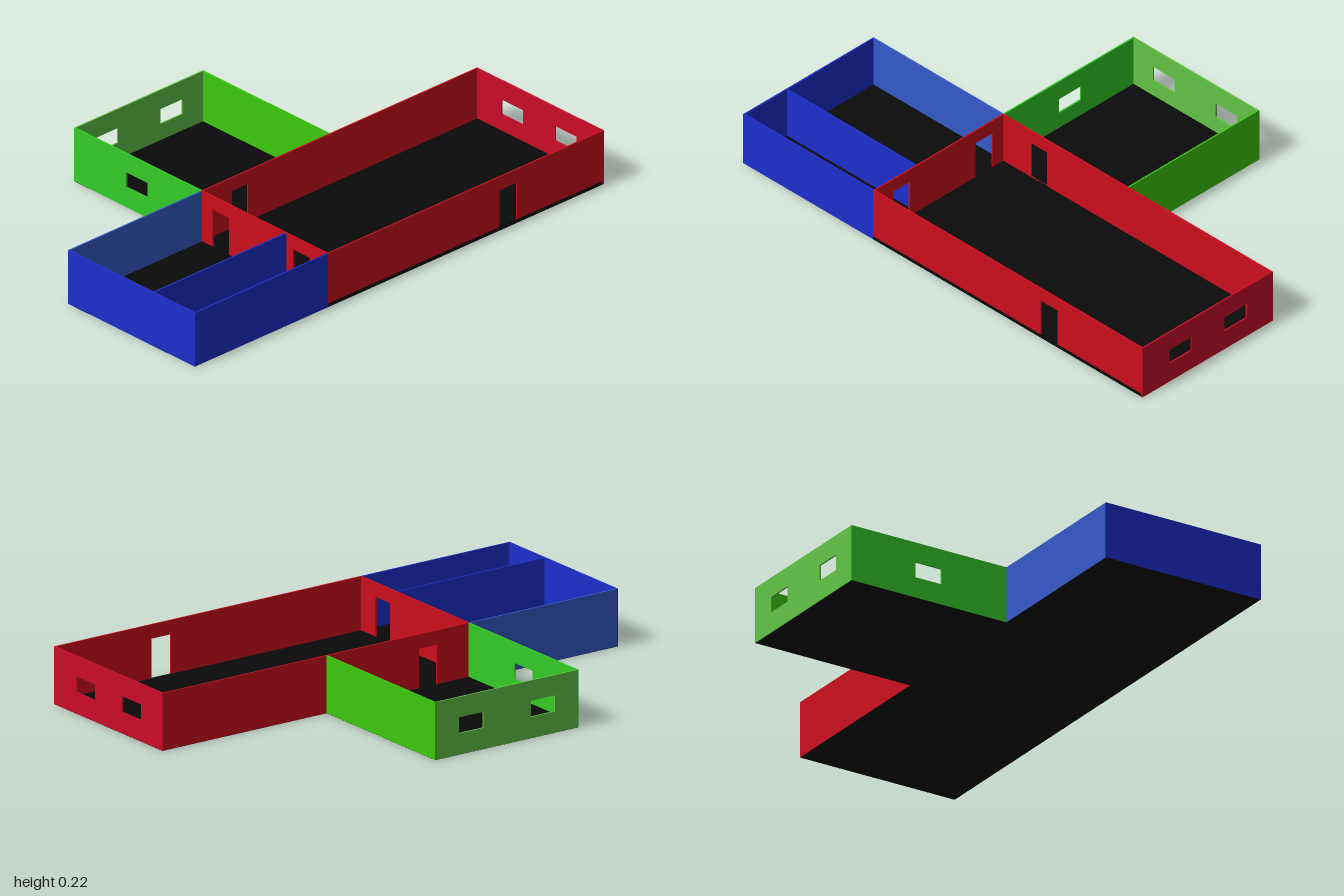
import * as THREE from 'three';

const TOP = 0.216, SLAB = 0.015, T = 0.006, BASE = 0.001;
const SILL = 0.08, HEAD = 0.14, DOOR = 0.163;

const material = (color) => new THREE.MeshStandardMaterial({ color, flatShading: true, side: THREE.DoubleSide });

// Thin upright panel from a to b; windows are holes, doors are holes or notches down to the bottom edge
function panel(a, b, bottom, windows, doors) {
  const s = new THREE.Shape();
  s.moveTo(a, bottom);
  const notched = bottom >= SLAB;
  for (const [p, q] of doors) {
    if (notched) {
      s.lineTo(p, bottom); s.lineTo(p, DOOR); s.lineTo(q, DOOR); s.lineTo(q, bottom);
    }
  }
  s.lineTo(b, bottom); s.lineTo(b, TOP); s.lineTo(a, TOP); s.closePath();
  const holes = windows.map(([p, q]) => [p, q, SILL, HEAD]);
  if (!notched) holes.push(...doors.map(([p, q]) => [p, q, SLAB, DOOR]));
  for (const [p, q, y0, y1] of holes) {
    const h = new THREE.Path();
    h.moveTo(p, y0); h.lineTo(p, y1); h.lineTo(q, y1); h.lineTo(q, y0); h.closePath();
    s.holes.push(h);
  }
  return new THREE.ExtrudeGeometry(s, { depth: T, bevelEnabled: false });
}

// Wall running along x, occupying z .. z + T
function wallX(name, color, z, a, b, { bottom = BASE, windows = [], doors = [] } = {}) {
  const mesh = new THREE.Mesh(panel(a, b, bottom, windows, doors), material(color));
  mesh.position.z = z;
  mesh.name = name;
  return mesh;
}

// Wall running along z, occupying x .. x + T (spans are given in z and flipped by the quarter turn)
function wallZ(name, color, x, a, b, { bottom = BASE, windows = [], doors = [] } = {}) {
  const flip = (list) => list.map(([p, q]) => [-q, -p]).sort((m, n) => m[0] - n[0]);
  const mesh = new THREE.Mesh(panel(-b, -a, bottom, flip(windows), flip(doors)), material(color));
  mesh.rotation.y = Math.PI / 2;
  mesh.position.x = x;
  mesh.name = name;
  return mesh;
}

function floor(name, x0, x1, z0, z1) {
  const mesh = new THREE.Mesh(new THREE.BoxGeometry(x1 - x0, SLAB, z1 - z0), material(0x0a0a0a));
  mesh.position.set((x0 + x1) / 2, SLAB / 2, (z0 + z1) / 2);
  mesh.name = name;
  return mesh;
}

function room(name, ...parts) {
  const g = new THREE.Group();
  g.name = name;
  g.add(...parts);
  return g;
}

export function createModel() {
  const RED = 0xcc0e1c, RED_END = 0xcc0c28, BLUE = 0x1c2ecc, PALE_BLUE = 0x345ac8;
  const GREEN = 0x3cc80e, SIDE_GREEN = 0x34cc26, PALE_GREEN = 0x62c446;
  const F = 0.654, E = 0.001; // half depth, small floor inset
  const mid = -0.35, wingEnd = 0.28;
  const model = new THREE.Group();
  model.name = 'floorPlan';

  // Large hall with front door, two end windows and doors to the other rooms
  model.add(room('mainHall',
    floor('hallFloor', mid, 1 - E, E, F - E),
    wallX('hallFrontWall', RED, F - T, mid + T, 1 - T, { bottom: SLAB, doors: [[0.49, 0.575]] }),
    wallX('hallBackWall', RED, 0, mid + T, 1 - T, { doors: [[-0.205, -0.125]] }),
    wallZ('hallEndWall', RED_END, 1 - T, 0, F, { windows: [[0.13, 0.242], [0.407, 0.518]] }),
    wallZ('hallPartition', RED, mid, 0, F, { bottom: SLAB, doors: [[0.06, 0.145], [0.475, 0.56]] })
  ));

  // Side rooms, split by an inner partition
  model.add(room('sideRooms',
    floor('sideFloor', -1 + E, mid, E, F - E),
    wallX('sideFrontWall', BLUE, F - T, -1 + T, mid),
    wallX('sideInnerPartition', BLUE, 0.435, -1 + T, mid, { bottom: SLAB }),
    wallX('sideBackWall', PALE_BLUE, 0, -1 + T, mid),
    wallZ('sideEndWall', BLUE, -1, 0, F)
  ));

  // Rear wing with windows in the back and one side
  model.add(room('rearWing',
    floor('wingFloor', mid + E, wingEnd - E, -F + E, E),
    wallX('wingBackWall', PALE_GREEN, -F, mid + T, wingEnd - T, { windows: [[-0.247, -0.14], [0.067, 0.175]] }),
    wallZ('wingWindowWall', SIDE_GREEN, mid, -F, 0, { windows: [[-0.385, -0.275]] }),
    wallZ('wingPlainWall', GREEN, wingEnd - T, -F, 0)
  ));
  return model;
}
